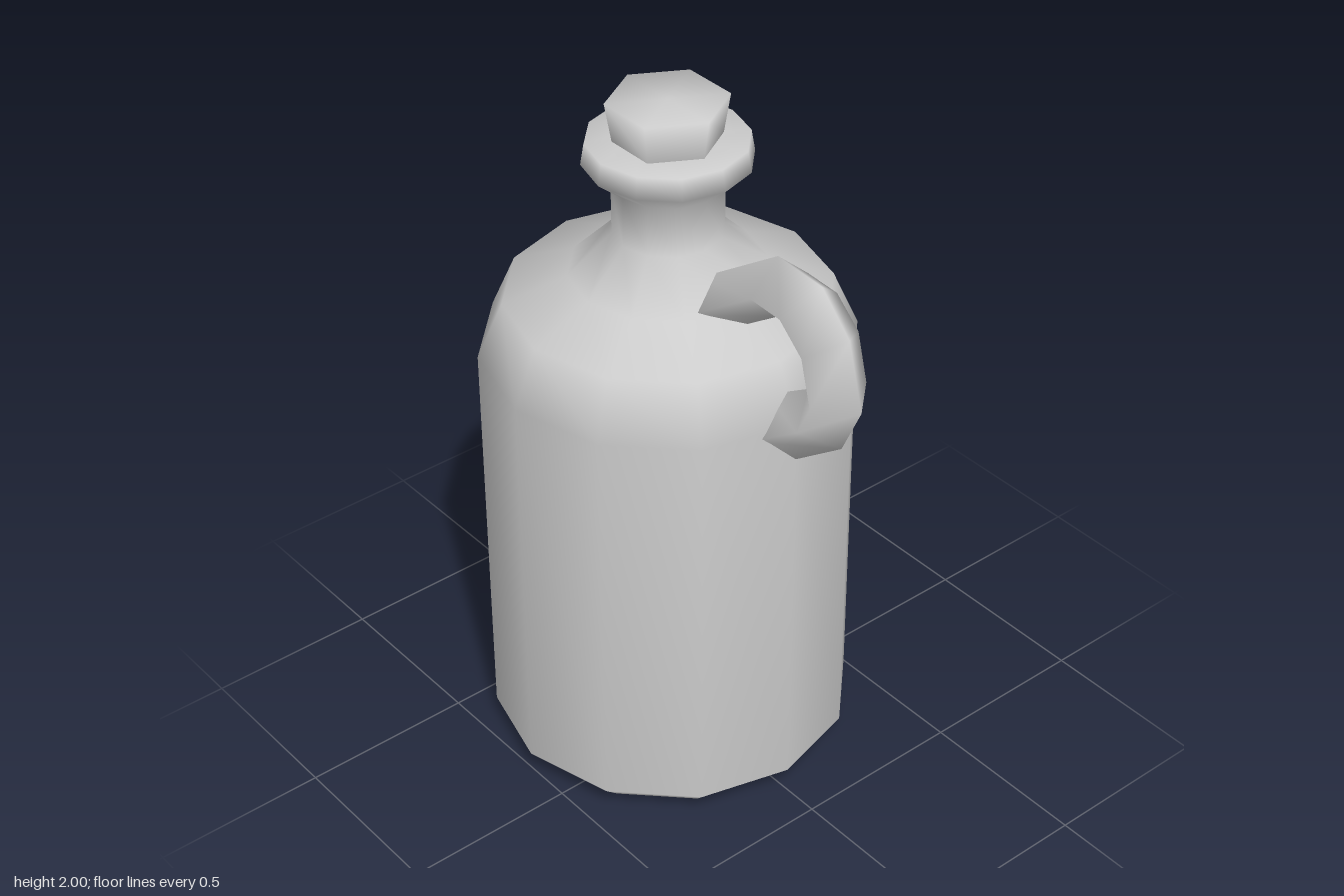
import * as THREE from 'three';

const AXIS_Z = -0.12; // the jug stands behind centre, the handle in front

const material = new THREE.MeshStandardMaterial({ color: 0xcccccc, side: THREE.DoubleSide });

function lathe(name, profile, sides) {
  const points = profile.map(([r, y]) => new THREE.Vector2(r, y));
  const mesh = new THREE.Mesh(new THREE.LatheGeometry(points, sides), material);
  mesh.name = name;
  mesh.position.z = AXIS_Z;
  return mesh;
}

// Diamond-section loop; each station gives outer [z, y] and inner [z, y] edges
function buildHandle(stations, halfWidth) {
  const positions = [];
  const index = [];
  for (const [oz, oy, iz, iy] of stations) {
    const mz = (oz + iz) / 2;
    const my = (oy + iy) / 2;
    positions.push(0, oy, oz, halfWidth, my, mz, 0, iy, iz, -halfWidth, my, mz);
  }
  for (let i = 0; i < stations.length - 1; i++) {
    for (let j = 0; j < 4; j++) {
      const a = i * 4 + j;
      const b = i * 4 + (j + 1) % 4;
      index.push(a, a + 4, b, b, a + 4, b + 4);
    }
  }
  const geometry = new THREE.BufferGeometry();
  geometry.setAttribute('position', new THREE.Float32BufferAttribute(positions, 3));
  geometry.setIndex(index);
  geometry.computeVertexNormals();
  const mesh = new THREE.Mesh(geometry, material);
  mesh.name = 'handle';
  return mesh;
}

export function createModel() {
  const jug = new THREE.Group();
  jug.name = 'jug';

  // Bottle: base, straight wall, shoulder, neck and flared lip
  jug.add(lathe('body', [
    [0, 0], [0.44, 0], [0.515, 0.075], [0.515, 1.27], [0.445, 1.43], [0.27, 1.5],
    [0.15, 1.62], [0.15, 1.765], [0.227, 1.83], [0.217, 1.89], [0.1, 1.89],
  ], 12));

  // Six-sided tapered stopper
  jug.add(lathe('stopper', [[0.125, 1.78], [0.145, 1.89], [0.163, 2], [0, 2]], 6));

  // Handle from the shoulder, forward and down into the wall
  jug.add(buildHandle([
    [0.01, 1.53, 0.12, 1.425],
    [0.31, 1.74, 0.325, 1.57],
    [0.475, 1.73, 0.38, 1.57],
    [0.58, 1.625, 0.44, 1.53],
    [0.632, 1.435, 0.46, 1.45],
    [0.565, 1.29, 0.435, 1.405],
    [0.36, 1.135, 0.28, 1.305],
  ], 0.095));

  return jug;
}
